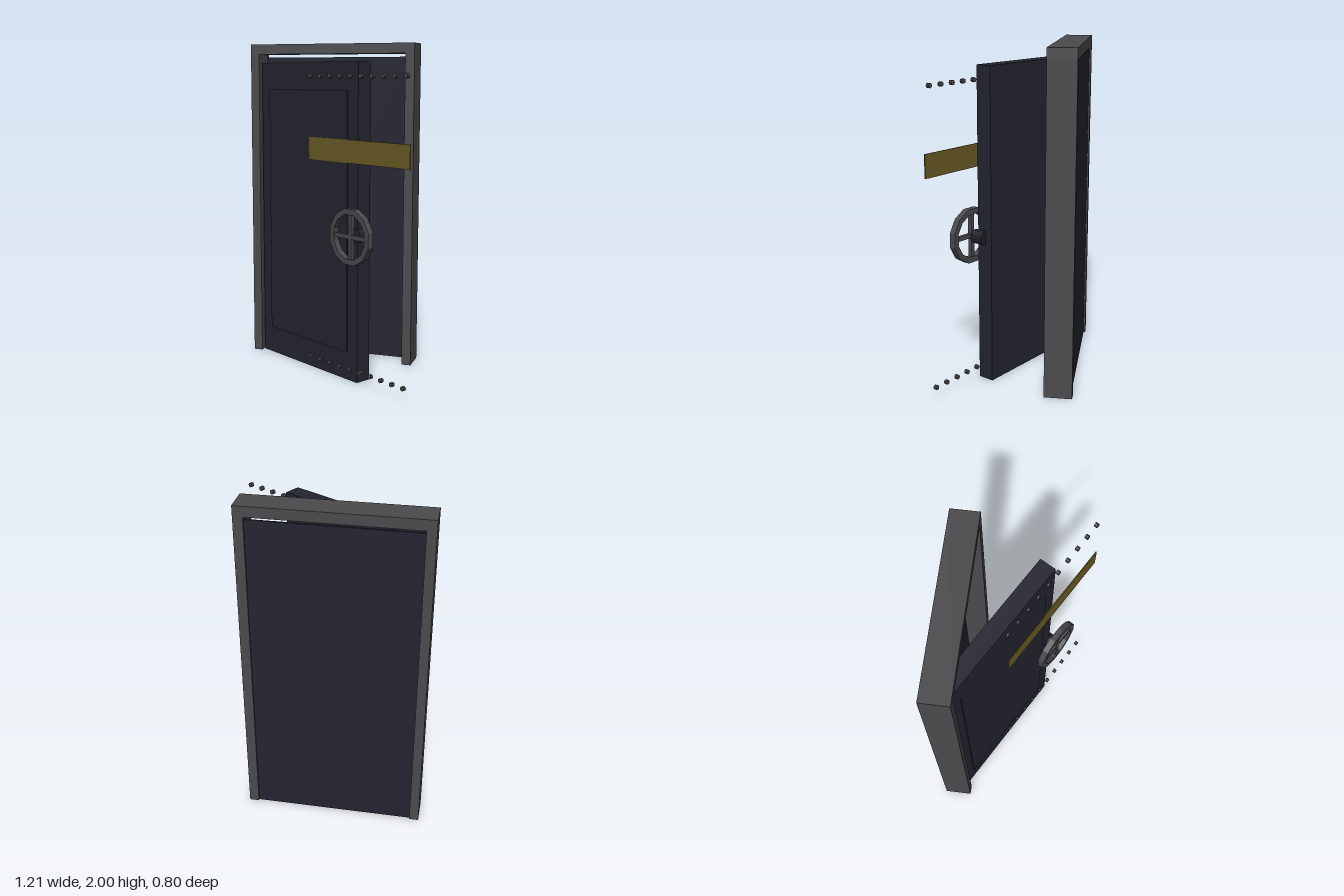
import * as THREE from 'three';

const material = (name, color) => {
  const m = new THREE.MeshStandardMaterial({ color });
  m.name = name;
  return m;
};

export function createModel() {
  const steel = material('frame grey', 0x4a4a4d);
  const navy = material('door navy', 0x242430);
  const iron = material('hub dark', 0x212128);
  const gold = material('stripe gold', 0x6a5b24);

  const model = new THREE.Group();
  model.name = 'vaultDoor';

  const add = (parent, name, geometry, mat, x, y, z) => {
    const mesh = new THREE.Mesh(geometry, mat);
    mesh.name = name;
    mesh.position.set(x, y, z);
    parent.add(mesh);
    return mesh;
  };
  // Box given by its minimum and maximum corners
  const box = (parent, name, mat, [x0, y0, z0], [x1, y1, z1]) =>
    add(parent, name, new THREE.BoxGeometry(x1 - x0, y1 - y0, z1 - z0), mat,
      (x0 + x1) / 2, (y0 + y1) / 2, (z0 + z1) / 2);
  const faceted = (geometry) => {
    const g = geometry.toNonIndexed();
    g.computeVertexNormals();
    return g;
  };

  // Frame and the panel closing its back
  const frame = new THREE.Group();
  frame.name = 'frame';
  model.add(frame);
  box(frame, 'lintel', steel, [-0.605, 1.938, -0.403], [0.46, 2, -0.238]);
  box(frame, 'rightJamb', steel, [-0.605, 0, -0.403], [-0.55, 1.938, -0.238]);
  box(frame, 'leftJamb', steel, [0.403, 0, -0.403], [0.46, 1.938, -0.238]);
  box(frame, 'backPanel', navy, [-0.55, 0, -0.392], [0.403, 1.92, -0.38]);

  // Door leaf swung open by 30 degrees; local z = 0 is its front face
  const door = new THREE.Group();
  door.name = 'door';
  door.position.set(-0.542, 0, -0.27);
  door.rotation.y = -Math.PI / 6;
  model.add(door);
  box(door, 'doorSlab', navy, [0, 0, -0.0985], [0.9, 1.885, 0]);
  box(door, 'raisedPanel', navy, [0.084, 0.17, 0], [0.816, 1.72, 0.008]);
  box(door, 'warningStripe', gold, [0.479, 1.305, 0.004], [1.321, 1.44, 0.011]);

  // Two rows of rivets
  const rivet = faceted(new THREE.CylinderGeometry(0.014, 0.014, 0.02, 8).rotateX(Math.PI / 2));
  for (const y of [0.07, 1.803]) {
    for (let i = 0; i < 10; i++) add(door, 'rivet', rivet, steel, 0.484 + i * 0.0885, y, 0.001);
  }

  // Handwheel: hub, twelve-sided rim and crossed spokes
  const wheel = new THREE.Group();
  wheel.name = 'handwheel';
  wheel.position.set(0.903, 0.888, 0);
  door.add(wheel);
  add(wheel, 'hub', faceted(new THREE.CylinderGeometry(0.042, 0.042, 0.077, 12).rotateX(Math.PI / 2)),
    iron, 0, 0, -0.0175);
  const section = [[0.168, -0.019], [0.168, 0.019], [0.134, 0.019], [0.134, -0.019], [0.168, -0.019]]
    .map(([r, h]) => new THREE.Vector2(r, h));
  add(wheel, 'rim', faceted(new THREE.LatheGeometry(section, 12, Math.PI / 12).rotateX(Math.PI / 2)),
    steel, 0, 0, 0.053);
  box(wheel, 'spokeAcross', steel, [-0.14, -0.0125, 0.041], [0.14, 0.0125, 0.065]);
  box(wheel, 'spokeUpright', steel, [-0.0125, -0.14, 0.0405], [0.0125, 0.14, 0.0655]);

  return model;
}
